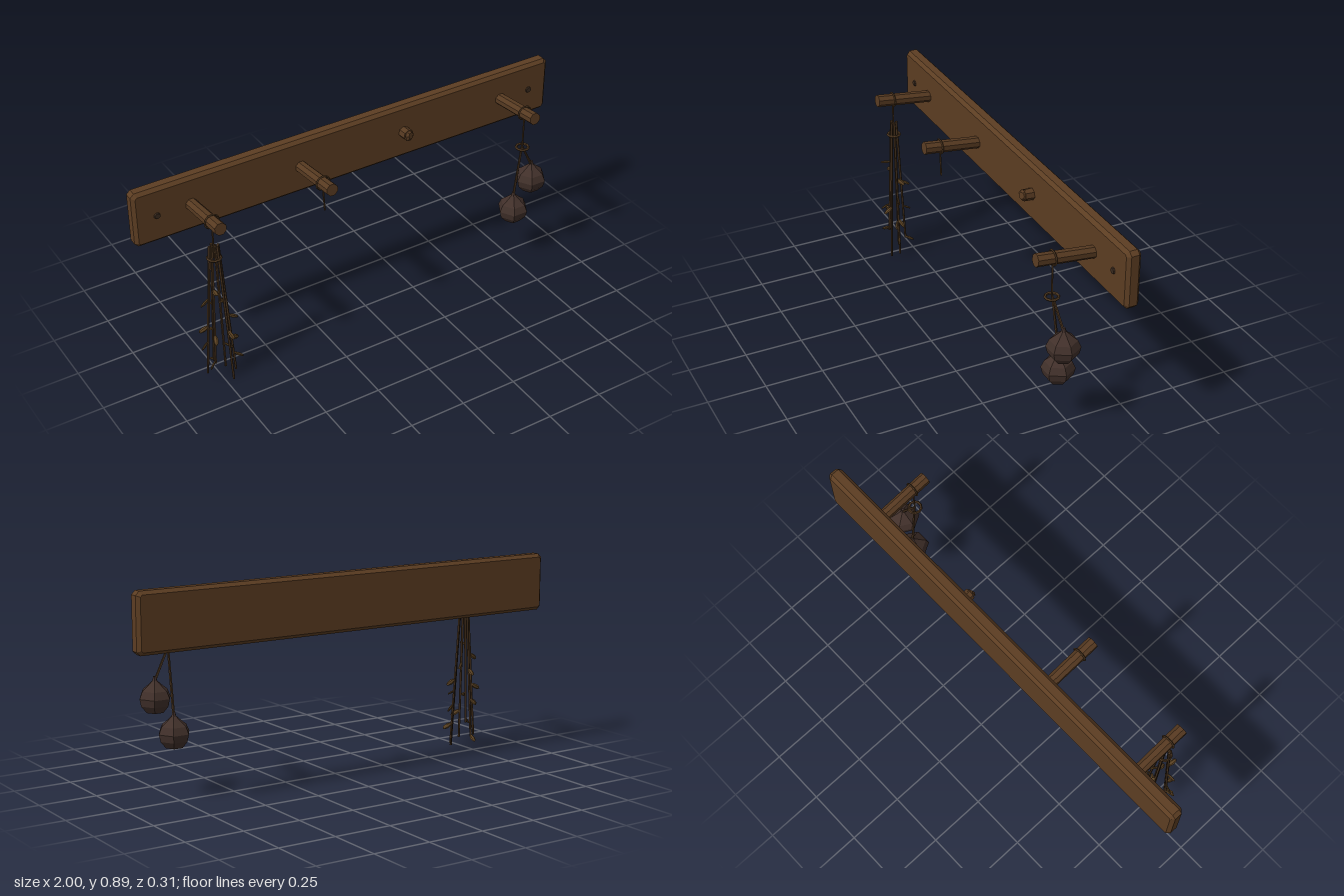
import * as THREE from 'three';

const mat = (name, color) => {
  const m = new THREE.MeshStandardMaterial({ color, flatShading: true });
  m.name = name;
  return m;
};

export function createModel() {
  const wood = mat('board wood', 0x5c3d22);
  const pegWood = mat('peg wood', 0x573a21);
  const iron = mat('dark iron', 0x3a2a1e);
  const twine = mat('twine', 0x4a341e);
  const stemMat = mat('dry stem', 0x46311d);
  const leafMat = mat('dry leaf', 0x5a4122);
  const bulbMat = mat('bulb skin', 0x41302a);

  const root = new THREE.Group();
  root.name = 'pegRack';
  const V = (x, y, z) => new THREE.Vector3(x, y, z);
  const UP = V(0, 1, 0);

  const add = (name, geometry, material, parent = root) => {
    const m = new THREE.Mesh(geometry, material);
    m.name = name;
    parent.add(m);
    return m;
  };
  // Tapered rod from point a to point b
  const rod = (name, a, b, ra, rb, sides, material, parent = root) => {
    const d = b.clone().sub(a);
    const g = new THREE.CylinderGeometry(rb, ra, d.length(), sides);
    g.rotateY(Math.PI / sides);
    const m = add(name, g, material, parent);
    m.position.copy(a).add(b).multiplyScalar(0.5);
    m.quaternion.setFromUnitVectors(UP, d.normalize());
    return m;
  };

  // Backboard with chamfered edges and clipped corners
  const bev = 0.014, hw = 1 - bev, hh = 0.125 - bev, c = 0.008;
  const outline = new THREE.Shape([
    [-hw + c, -hh], [hw - c, -hh], [hw, -hh + c], [hw, hh - c],
    [hw - c, hh], [-hw + c, hh], [-hw, hh - c], [-hw, -hh + c],
  ].map(([x, y]) => new THREE.Vector2(x, y)));
  const board = new THREE.ExtrudeGeometry(outline, {
    depth: 0.062 - 2 * bev, bevelEnabled: true, bevelThickness: bev, bevelSize: bev, bevelSegments: 1,
  });
  add('backboard', board, wood).position.set(0, 0.764, -0.157 + bev);

  // Upward-tilted pegs, each with a twine loop and hanging cord
  const hangers = [[-0.75, -0.75, 0.61], [-0.25, -0.243, 0.65], [0.75, 0.75, 0.61]];
  for (const [x, endX, endY] of hangers) {
    rod('peg', V(x, 0.763, -0.11), V(x, 0.793, 0.154), 0.026, 0.027, 8, pegWood);
    const loop = add('twineLoop', new THREE.TorusGeometry(0.031, 0.004, 4, 12), twine);
    loop.position.set(x, 0.785, 0.08);
    rod('hangingCord', V(x, 0.756, 0.08), V(endX, endY, 0.08), 0.004, 0.004, 5, twine);
  }

  // Snapped peg stub
  rod('brokenPeg', V(0.25, 0.764, -0.11), V(0.25, 0.767, -0.055), 0.026, 0.025, 7, pegWood);
  rod('brokenPegTip', V(0.25, 0.767, -0.055), V(0.254, 0.769, -0.045), 0.025, 0.015, 7, pegWood);

  // Nail heads
  for (const s of [-1, 1]) {
    rod('nailHead', V(s * 0.9, 0.764, -0.1), V(s * 0.9, 0.764, -0.089), 0.016, 0.012, 8, iron);
  }

  // Binding rings
  for (const s of [-1, 1]) {
    const ring = add('bindingRing', new THREE.TorusGeometry(0.027, 0.006, 5, 10), twine);
    ring.rotation.x = Math.PI / 2;
    ring.position.set(s * 0.75, 0.612, 0.08);
  }

  // Herb bundle: stem ends, then leaves as [fraction down the stem, heading angle]
  const herbs = new THREE.Group();
  herbs.name = 'herbBundle';
  root.add(herbs);
  const leafGeo = new THREE.SphereGeometry(1, 6, 4);
  leafGeo.scale(0.011, 0.024, 0.005);
  leafGeo.translate(0, 0.024, 0);
  const stems = [
    [-0.717, 0.0, 0.122, [[0.62, 1.4]]],
    [-0.69, 0.02, 0.092, [[0.55, 0.2], [0.73, -0.3], [0.86, 0.4]]],
    [-0.813, 0.045, 0.08, [[0.4, 3.0], [0.62, 3.4], [0.74, 2.8]]],
    [-0.76, 0.055, 0.033, [[0.5, -1.4], [0.72, -1.7], [0.99, -1.4]]],
    [-0.785, 0.1, 0.102, [[0.36, 1.7], [0.75, 1.9], [0.97, 2.6]]],
    [-0.73, 0.045, 0.08, [[0.45, -0.7], [0.8, 0.6]]],
  ];
  for (const [x, y, z, leaves] of stems) {
    const end = V(x, y, z);
    const top = V(-0.75 + (x + 0.75) * 0.3, 0.672, 0.08 + (z - 0.08) * 0.3);
    rod('herbStem', top, end, 0.006, 0.005, 5, stemMat, herbs);
    for (const [t, a] of leaves) {
      const leaf = add('herbLeaf', leafGeo, leafMat, herbs);
      leaf.position.lerpVectors(top, end, t);
      const slope = t < 0.4 ? 0.1 : -0.6;
      leaf.quaternion.setFromUnitVectors(UP, V(Math.cos(a), slope, Math.sin(a)).normalize());
    }
  }

  // Hanging bulbs with pointed necks
  const profile = [
    [0, -0.062], [0.038, -0.055], [0.062, -0.026], [0.069, 0.004],
    [0.056, 0.034], [0.03, 0.055], [0.011, 0.072], [0.006, 0.09], [0, 0.09],
  ].map(([r, y]) => new THREE.Vector2(r, y));
  const bulbGeo = new THREE.LatheGeometry(profile, 6);
  bulbGeo.rotateY(Math.PI / 6);
  for (const [x, y, z] of [[0.748, 0.267, 0.043], [0.82, 0.417, 0.063]]) {
    add('bulb', bulbGeo, bulbMat).position.set(x, y, z);
    rod('bulbStalk', V(0.75, 0.615, 0.078), V(x, y + 0.07, z), 0.005, 0.006, 5, stemMat);
  }

  return root;
}
